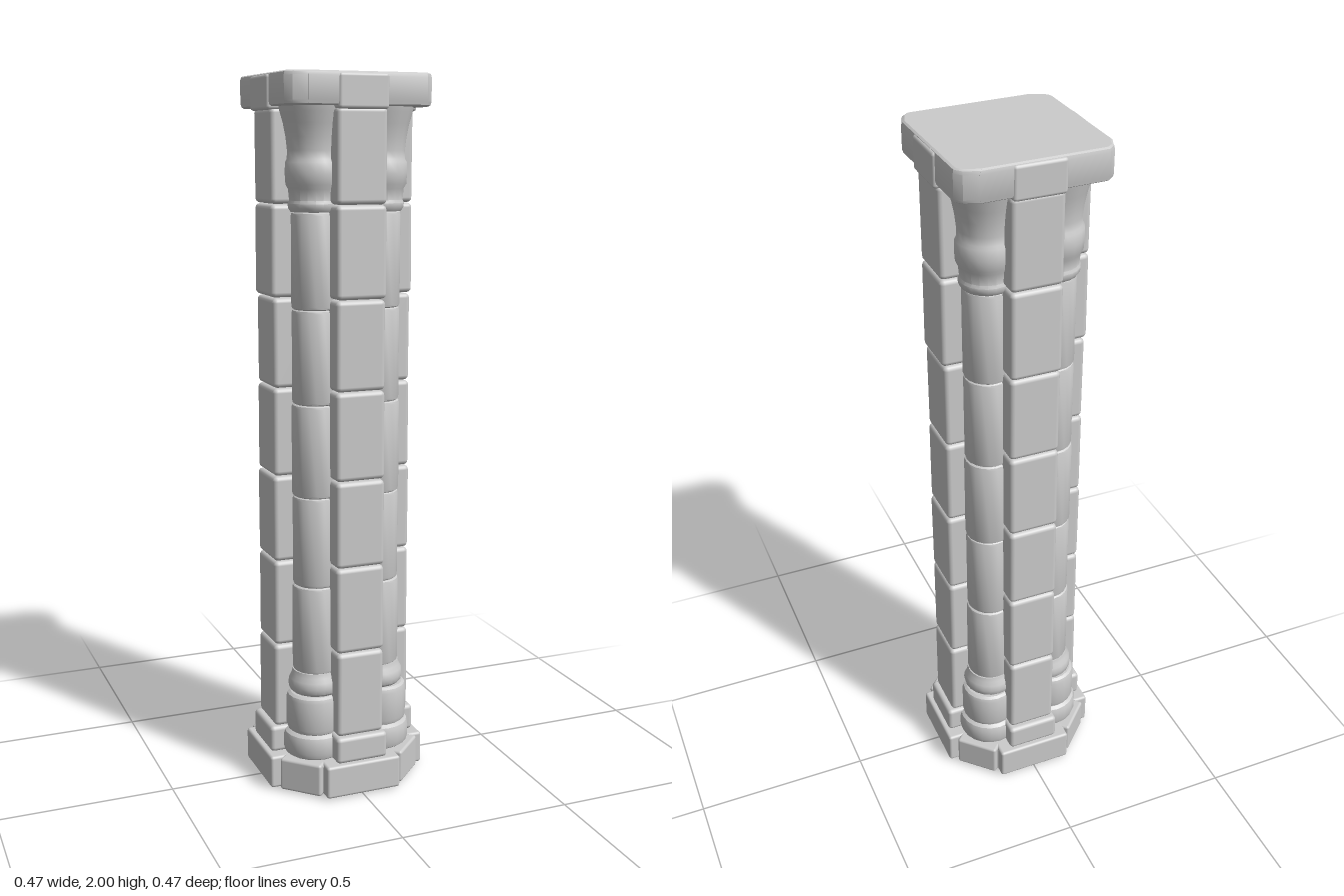
import * as THREE from 'three';
import { toCreasedNormals } from 'three/addons/utils/BufferGeometryUtils.js';
import { RoundedBoxGeometry } from 'three/addons/geometries/RoundedBoxGeometry.js';

const material = new THREE.MeshStandardMaterial({ color: 0xcccccc });

// small seeded generator for hand-cut unevenness, -1..1
let seed = 7;
const wobble = () => {
  seed = (seed * 16807) % 2147483647;
  return (seed / 2147483647) * 2 - 1;
};

function add(parent, name, geometry, x = 0, y = 0, z = 0) {
  const mesh = new THREE.Mesh(geometry, material);
  mesh.name = name;
  mesh.position.set(x, y, z);
  parent.add(mesh);
  return mesh;
}

// block with softened edges, from y0 to y1, reaching out to z = front
function block(parent, name, halfWidth, y0, y1, back, front, radius = 0.01) {
  const geometry = new RoundedBoxGeometry(halfWidth * 2, y1 - y0, front - back, 2, radius);
  return add(parent, name, geometry, 0, (y0 + y1) / 2, (back + front) / 2);
}

// turned stone from [radius, y] points
function turned(parent, name, points, centre) {
  const profile = points.map(([r, y]) => new THREE.Vector2(r, y));
  const geometry = toCreasedNormals(new THREE.LatheGeometry(profile, 20), 0.6);
  return add(parent, name, geometry, centre, 0, centre);
}

// straight drum with worn rims
function drum(parent, name, r, y0, y1, centre, worn = 0.008) {
  return turned(parent, name, [
    [0, y0], [r - worn, y0], [r - worn * 0.3, y0 + worn * 0.5], [r, y0 + worn * 1.5],
    [r, y1 - worn * 1.5], [r - worn * 0.3, y1 - worn * 0.5], [r - worn, y1], [0, y1],
  ], centre);
}

// one side with its pilaster and the corner shaft next to it
function createQuarter() {
  const quarter = new THREE.Group();

  // stepped foot
  block(quarter, 'plinthSide', 0.112, 0.005, 0.1, 0, 0.237, 0.008);
  block(quarter, 'footSide', 0.077, 0.098, 0.175, 0, 0.224, 0.012);
  const corner = new THREE.Group();
  corner.name = 'plinthCorner';
  corner.rotation.y = Math.PI / 4;
  block(corner, 'plinthCornerBlock', 0.064, 0.005, 0.1, 0, 0.241, 0.008);
  block(corner, 'plinthCornerFill', 0.088, 0.008, 0.096, 0, 0.226, 0.008);
  quarter.add(corner);
  drum(quarter, 'footCorner', 0.092, 0.098, 0.172, 0.097, 0.014);

  // pilaster courses
  const joints = [0.172, 0.42, 0.668, 0.914, 1.162, 1.41, 1.66, 1.912];
  for (let i = 0; i < joints.length - 1; i++) {
    const stone = block(quarter, 'pilasterBlock', 0.071 + wobble() * 0.001,
      joints[i] + 0.001, joints[i + 1] - 0.001, 0.05, 0.206 + wobble() * 0.003, 0.013);
    stone.rotation.x = wobble() * 0.008;
    stone.rotation.z = wobble() * 0.006;
  }

  // corner shaft base: drum and ring
  drum(quarter, 'shaftBase', 0.08, 0.17, 0.285, 0.1, 0.011);
  turned(quarter, 'shaftRing', [
    [0, 0.283], [0.068, 0.284], [0.076, 0.292], [0.079, 0.308],
    [0.076, 0.325], [0.069, 0.337], [0.066, 0.35], [0, 0.35],
  ], 0.093);

  // shaft drums
  const shaftJoints = [0.348, 0.602, 0.86, 1.12, 1.38, 1.64];
  for (let i = 0; i < shaftJoints.length - 1; i++) {
    drum(quarter, 'shaftDrum', 0.065 + wobble() * 0.0015,
      shaftJoints[i], shaftJoints[i + 1], 0.091 + wobble() * 0.001, 0.006);
  }

  // flared capital with collar
  turned(quarter, 'capital', [
    [0, 1.638], [0.064, 1.64], [0.071, 1.65], [0.072, 1.662], [0.068, 1.67],
    [0.071, 1.7], [0.078, 1.712], [0.08, 1.74], [0.079, 1.77], [0.074, 1.778],
    [0.073, 1.8], [0.077, 1.835], [0.084, 1.87], [0.093, 1.9], [0.098, 1.925], [0, 1.925],
  ], 0.092);

  // stone let into each side of the top slab
  block(quarter, 'slabSide', 0.071, 1.905, 1.996, 0, 0.2175, 0.009);
  return quarter;
}

// top slab with cut corners
function createSlab() {
  const cut = [[0.155, 0.216], [0.192, 0.202], [0.209, 0.183]];
  const points = [];
  for (let i = 0; i < 4; i++) {
    // each corner walks counter-clockwise
    for (const [a, b] of [...cut].reverse().concat([])) {
      points.push(new THREE.Vector2(a, b).rotateAround(new THREE.Vector2(), (i * Math.PI) / 2));
    }
    points.push(new THREE.Vector2(-0.215, 0.155).rotateAround(new THREE.Vector2(), (i * Math.PI) / 2));
  }
  // sort by angle so the outline stays simple
  points.sort((p, q) => p.angle() - q.angle());
  const geometry = new THREE.ExtrudeGeometry(new THREE.Shape(points), {
    depth: 0.062, bevelThickness: 0.012, bevelSize: 0.008, bevelOffset: -0.008, bevelSegments: 2,
  });
  geometry.rotateX(-Math.PI / 2);
  return toCreasedNormals(geometry, 0.5);
}

export function createModel() {
  const model = new THREE.Group();
  model.name = 'stonePillar';

  // hidden core behind the joints
  add(model, 'core', new THREE.BoxGeometry(0.2, 1.88, 0.2), 0, 0.98, 0);
  add(model, 'plinthCore', new THREE.CylinderGeometry(0.2, 0.2, 0.09, 8), 0, 0.045, 0);

  const quarter = createQuarter();
  for (let i = 0; i < 4; i++) {
    const side = quarter.clone();
    side.name = 'side' + (i + 1);
    side.rotation.y = (i * Math.PI) / 2;
    model.add(side);
  }

  add(model, 'topSlab', createSlab(), 0, 1.926, 0);
  return model;
}
